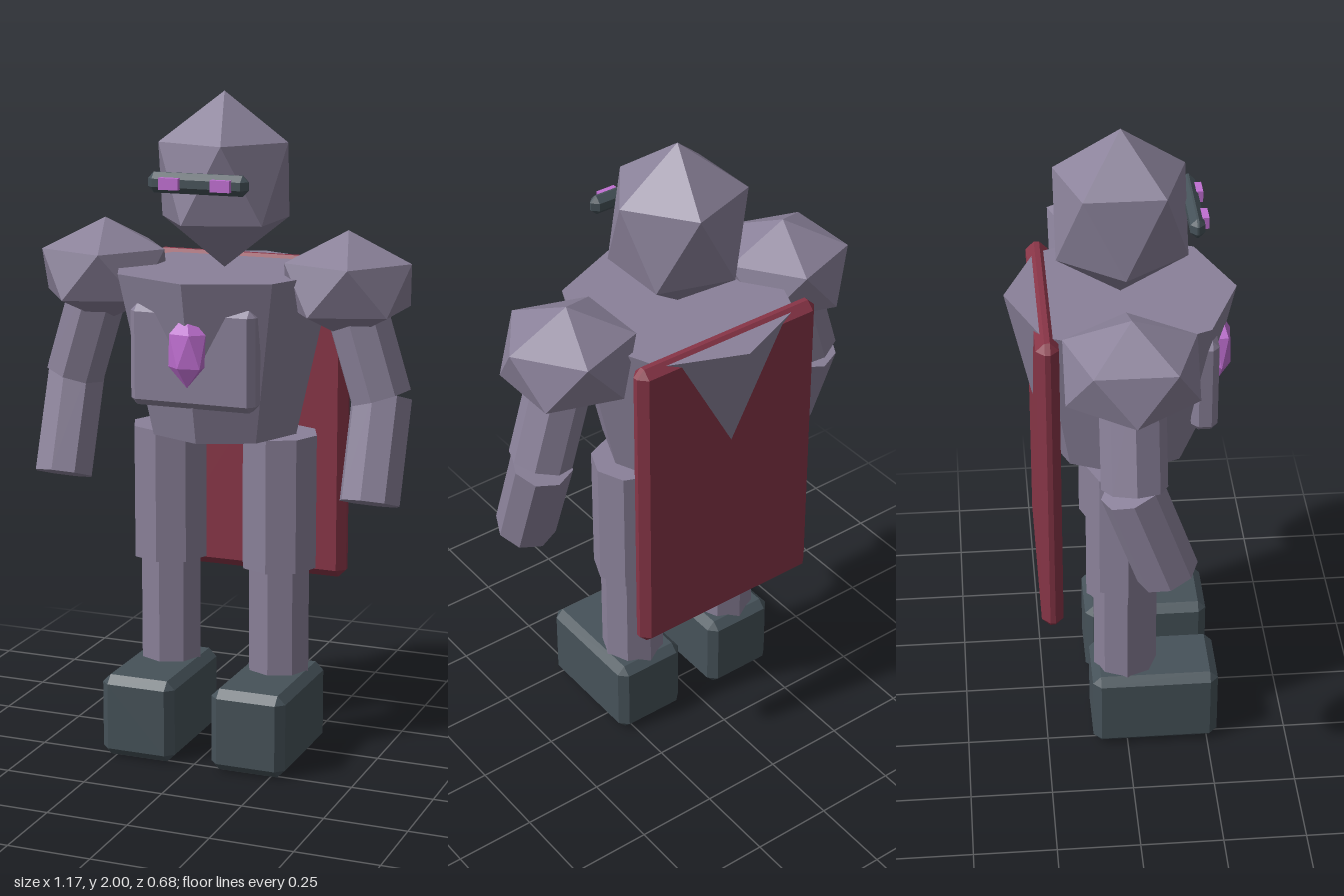
import * as THREE from 'three';
import { ConvexGeometry } from 'three/addons/geometries/ConvexGeometry.js';

const material = (name, color) => {
  const m = new THREE.MeshStandardMaterial({ color });
  m.name = name;
  return m;
};

// Box with chamfered edges
function chamferBox(w, h, d, c) {
  const points = [];
  for (const x of [-w / 2, w / 2]) for (const y of [-h / 2, h / 2]) for (const z of [-d / 2, d / 2]) {
    const ix = x - Math.sign(x) * c, iy = y - Math.sign(y) * c, iz = z - Math.sign(z) * c;
    points.push(new THREE.Vector3(x, iy, iz), new THREE.Vector3(ix, y, iz), new THREE.Vector3(ix, iy, z));
  }
  return new ConvexGeometry(points);
}

// Icosahedron standing on a vertex, upper ring pointing along +x
function icoSphere(rx, ry, rz) {
  const points = [new THREE.Vector3(0, ry, 0), new THREE.Vector3(0, -ry, 0)];
  const h = 1 / Math.sqrt(5), r = 2 * h;
  for (let i = 0; i < 10; i++) {
    const a = i * Math.PI / 5;
    points.push(new THREE.Vector3(Math.cos(a) * r * rx, (i % 2 ? -h : h) * ry, Math.sin(a) * r * rz));
  }
  return new ConvexGeometry(points);
}

// Faceted eight-sided cylinder
function prism(top, bottom, height) {
  const g = new THREE.CylinderGeometry(top, bottom, height, 8).toNonIndexed();
  g.computeVertexNormals();
  return g;
}

export function createModel() {
  const group = new THREE.Group();
  group.name = 'armouredFigure';
  const armour = material('armourGrey', 0x8a8199);
  const dark = material('darkSlate', 0x465259);
  const red = material('capeRed', 0x883547);
  const glow = material('glowPurple', 0xc06fd2);

  const add = (name, geometry, mat, x, y, z, rx = 0, rz = 0) => {
    const mesh = new THREE.Mesh(geometry, mat);
    mesh.name = name;
    mesh.position.set(x, y, z);
    mesh.rotation.set(rx, 0, rz);
    group.add(mesh);
  };

  // Trunk and head
  add('torso', prism(0.34, 0.23, 0.49), armour, 0, 1.235, 0);
  add('chestPlate', chamferBox(0.39, 0.3, 0.078, 0.02), armour, 0, 1.25, 0.233);
  add('chestGem', icoSphere(0.065, 0.11, 0.036), glow, 0, 1.28, 0.296);
  add('helmet', icoSphere(0.223, 0.26, 0.223), armour, 0, 1.74, 0);
  add('visor', chamferBox(0.31, 0.06, 0.042, 0.018), dark, 0, 1.75, 0.206);
  add('cape', chamferBox(0.635, 1, 0.066, 0.025), red, 0, 0.99, -0.229);

  for (const s of [1, -1]) {
    const side = s > 0 ? 'left' : 'right';
    add(side + 'Eye', new THREE.BoxGeometry(0.06, 0.034, 0.036), glow, s * 0.079, 1.75, 0.224);

    // Arm: upper part leans outward, forearm swings forward
    add(side + 'Pauldron', icoSphere(0.216, 0.16, 0.222), armour, s * 0.387, 1.45, 0);
    add(side + 'UpperArm', prism(0.095, 0.095, 0.35), armour, s * 0.441, 1.292, 0, 0, s * 0.3);
    add(side + 'Forearm', prism(0.092, 0.092, 0.315), armour, s * 0.493, 0.973, 0.044, -0.34);

    // Leg
    add(side + 'Thigh', prism(0.118, 0.118, 0.41), armour, s * 0.177, 0.785, 0);
    add(side + 'Shin', prism(0.097, 0.097, 0.4), armour, s * 0.177, 0.4, 0);
    add(side + 'Boot', chamferBox(0.235, 0.255, 0.39, 0.025), dark, s * 0.177, 0.1275, 0.088);
  }
  return group;
}
